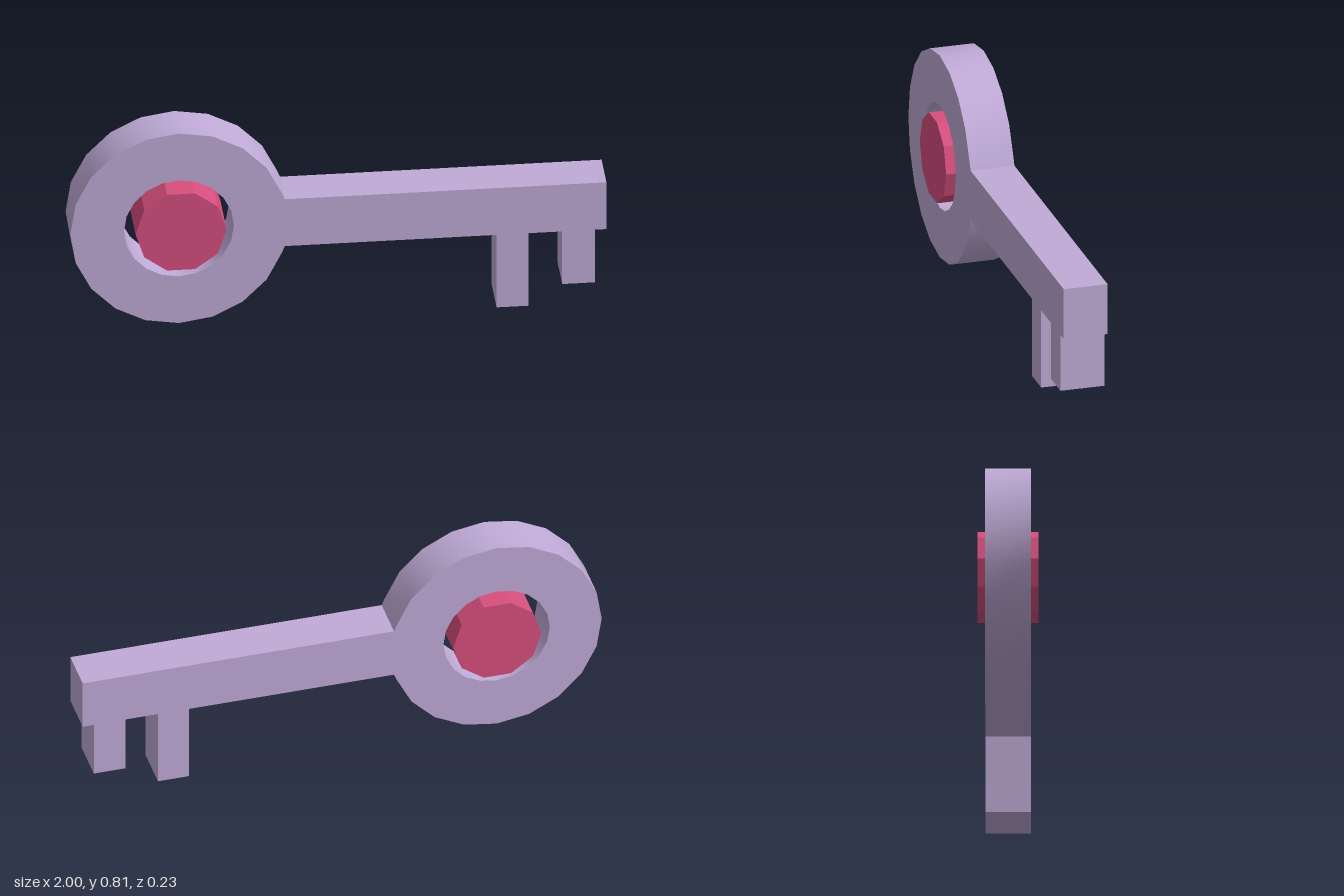
import * as THREE from 'three';
import { toCreasedNormals } from 'three/addons/utils/BufferGeometryUtils.js';

const CX = -0.595, CY = 0.41; // centre of the bow

// Points on a 20-sided ring, from step a to step b
function ringPoints(radius, a, b) {
  const points = [];
  for (let i = a; i <= b; i++) {
    const t = (i * Math.PI) / 10;
    points.push(new THREE.Vector2(CX + radius * Math.cos(t), CY + radius * Math.sin(t)));
  }
  return points;
}

export function createModel() {
  const lilac = new THREE.MeshStandardMaterial({ color: 0xbfaad6 });
  const pink = new THREE.MeshStandardMaterial({ color: 0xd64e7d });
  const model = new THREE.Group();
  model.name = 'key';

  // Key body: round bow, straight shaft and two teeth in one outline
  const shaft = [
    [-0.2, 0.31],
    [0.59, 0.31], [0.59, 0], [0.71, 0], [0.71, 0.31],
    [0.835, 0.31], [0.835, 0.085], [0.957, 0.085], [0.957, 0.31],
    [1, 0.31], [1, 0.51], [-0.2, 0.51],
  ].map(([x, y]) => new THREE.Vector2(x, y));
  const outline = new THREE.Shape([...ringPoints(0.405, 1, 19), ...shaft]);
  outline.holes.push(new THREE.Path(ringPoints(0.205, 0, 19).reverse()));

  const bodyGeometry = new THREE.ExtrudeGeometry(outline, { depth: 0.17, bevelEnabled: false });
  bodyGeometry.translate(0, 0, -0.085);
  const body = new THREE.Mesh(toCreasedNormals(bodyGeometry, 0.5), lilac);
  body.name = 'keyBody';
  model.add(body);

  // Ten-sided gem floating in the bow, flat sided
  const gemGeometry = new THREE.CylinderGeometry(0.17, 0.17, 0.226, 10);
  gemGeometry.rotateY(Math.PI / 2).rotateX(Math.PI / 2);
  const gem = new THREE.Mesh(toCreasedNormals(gemGeometry, 0.3), pink);
  gem.name = 'gem';
  gem.position.set(-0.59, CY, 0);
  model.add(gem);

  return model;
}
